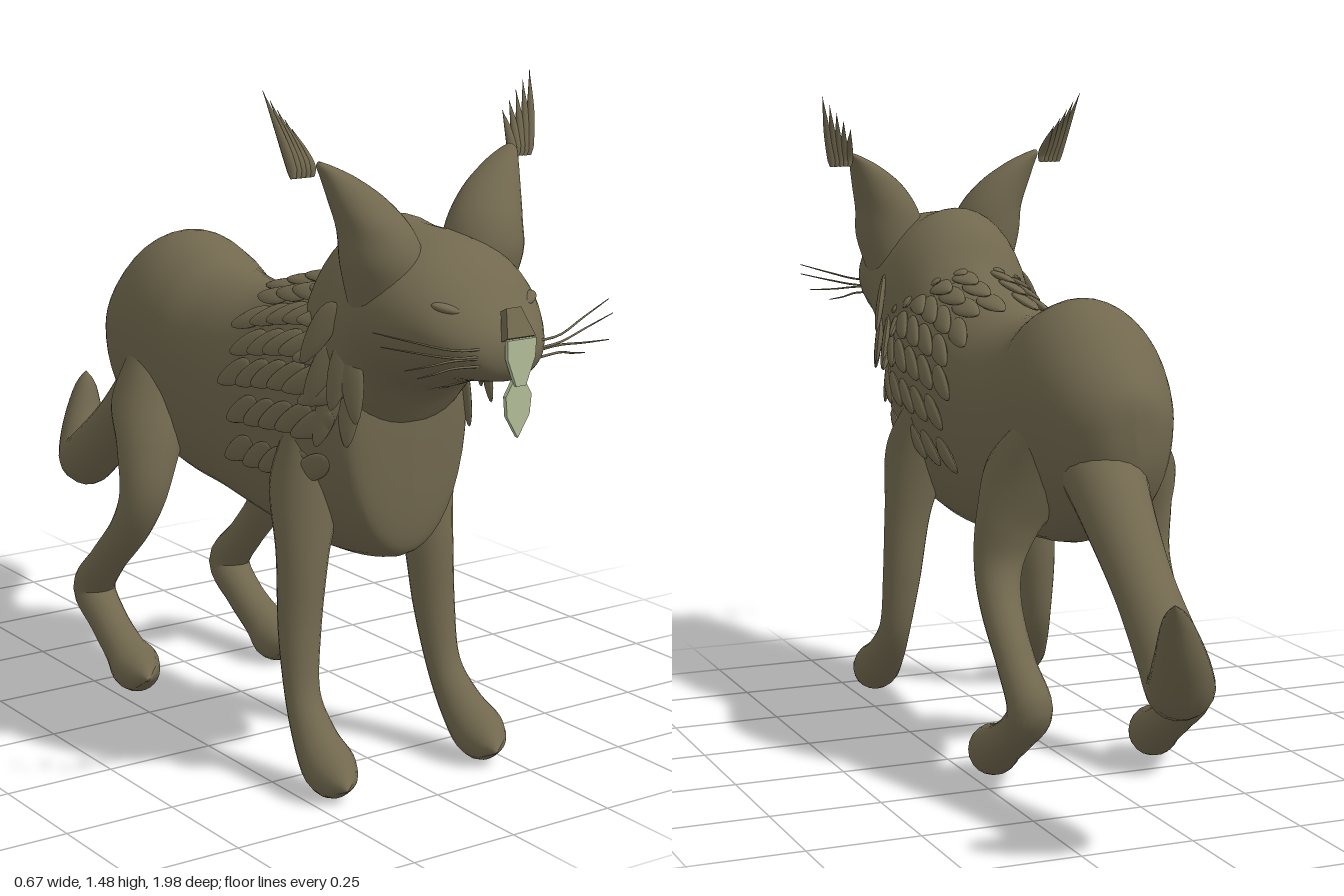
import * as THREE from 'three';

const fur = new THREE.MeshStandardMaterial({ color: 0x71684e });
fur.name = 'olive fur';
const pale = new THREE.MeshStandardMaterial({ color: 0xb3be98 });
pale.name = 'pale green';

// Smooth interpolation of section rows [axis, bottom, top, halfWidth, centreX]
function sectionAt(rows, t) {
  const f = t * (rows.length - 1), i = Math.min(Math.floor(f), rows.length - 2), u = f - i;
  const row = k => rows[Math.max(0, Math.min(rows.length - 1, k))];
  return row(i).map((b, c) => {
    const a = row(i - 1)[c], d = row(i + 1)[c], e = row(i + 2)[c];
    return b + 0.5 * u * (d - a + u * (2 * a - 5 * b + 4 * d - e + u * (3 * (b - d) + e - a)));
  });
}

function surfacePoint(rows, t, a, wide) {
  const [z, bottom, top, rx, x = 0] = sectionAt(rows, t);
  const yc = bottom + (top - bottom) * wide, s = Math.sin(a);
  const y = yc + s * (s > 0 ? top - yc : yc - bottom);
  return new THREE.Vector3(x + Math.max(rx, 0.001) * Math.cos(a), y, z);
}

// Closed loft of oval rings along z
function loft(rows, wide, steps = 60, sides = 40) {
  const pos = [], idx = [];
  for (let i = 0; i <= steps; i++) {
    for (let j = 0; j < sides; j++) {
      pos.push(...surfacePoint(rows, i / steps, j / sides * Math.PI * 2, wide).toArray());
      if (i === steps) continue;
      const a = i * sides + j, b = i * sides + (j + 1) % sides;
      idx.push(a, b, a + sides, b, b + sides, a + sides);
    }
  }
  for (let j = 1; j < sides - 1; j++) {
    const e = steps * sides;
    idx.push(0, j + 1, j, e, e + j, e + j + 1);
  }
  const g = new THREE.BufferGeometry();
  g.setAttribute('position', new THREE.Float32BufferAttribute(pos, 3));
  g.setIndex(idx);
  g.computeVertexNormals();
  return g;
}

// Tube of changing radius through points [x, y, z, radius]
function limb(points, steps = 48, sides = 20) {
  const curve = new THREE.CatmullRomCurve3(points.map(p => new THREE.Vector3(p[0], p[1], p[2])), false, 'catmullrom');
  const radii = new THREE.CatmullRomCurve3(points.map(p => new THREE.Vector3(p[3], 0, 0)), false, 'catmullrom');
  const g = new THREE.TubeGeometry(curve, steps, 1, sides);
  const p = g.attributes.position, v = new THREE.Vector3();
  for (let i = 0; i < p.count; i++) {
    const u = Math.floor(i / (sides + 1)) / steps;
    const c = curve.getPointAt(u), r = Math.max(0.0005, radii.getPoint(curve.getUtoTmapping(u)).x);
    v.fromBufferAttribute(p, i).sub(c).multiplyScalar(r).add(c);
    p.setXYZ(i, v.x, v.y, v.z);
  }
  return g;
}

const bodyRows = [
  [-0.47, 0.79, 0.86, 0.005], [-0.455, 0.71, 0.91, 0.07], [-0.4, 0.62, 0.97, 0.12], [-0.3, 0.575, 1.05, 0.155],
  [-0.2, 0.54, 1.08, 0.17], [-0.1, 0.52, 1.06, 0.165], [0, 0.51, 1.02, 0.155], [0.15, 0.49, 1.01, 0.16],
  [0.3, 0.475, 1.05, 0.175], [0.42, 0.475, 1.08, 0.185], [0.53, 0.485, 1.09, 0.185], [0.61, 0.505, 1.03, 0.165],
  [0.64, 0.54, 0.93, 0.12], [0.65, 0.66, 0.8, 0.005]];
const headRows = [
  [0.36, 0.92, 1.05, 0.03], [0.42, 0.82, 1.1, 0.12], [0.48, 0.76, 1.18, 0.155], [0.56, 0.74, 1.225, 0.175],
  [0.63, 0.78, 1.215, 0.185], [0.7, 0.87, 1.21, 0.19], [0.78, 0.905, 1.195, 0.18], [0.85, 0.93, 1.155, 0.155],
  [0.91, 0.94, 1.1, 0.12], [0.955, 0.95, 1.06, 0.08], [0.975, 0.97, 1.03, 0.035], [0.98, 0.99, 1.01, 0.001]];
const earRows = s => [
  [1.05, -0.76, -0.62, 0.07, s * 0.11], [1.15, -0.785, -0.615, 0.085, s * 0.125], [1.22, -0.77, -0.615, 0.077, s * 0.138],
  [1.28, -0.73, -0.62, 0.062, s * 0.168], [1.325, -0.695, -0.625, 0.038, s * 0.203],
  [1.35, -0.67, -0.63, 0.017, s * 0.23], [1.36, -0.65, -0.64, 0.002, s * 0.24]];

// Thin plate from a front outline
function plate(outline, z, depth) {
  const g = new THREE.ExtrudeGeometry(new THREE.Shape(outline.map(p => new THREE.Vector2(...p))), { depth, bevelEnabled: false });
  return g.translate(0, 0, z);
}

export function createModel() {
  const model = new THREE.Group();
  const add = (name, geometry, material = fur, parent = model) => {
    const m = new THREE.Mesh(geometry, material);
    m.name = name;
    parent.add(m);
    return m;
  };
  add('body', loft(bodyRows, 0.6));
  add('headAndNeck', loft(headRows, 0.5));
  add('tail', limb([[0.02, 0.75, -0.32, 0.1], [0.045, 0.665, -0.46, 0.08], [0.06, 0.535, -0.63, 0.066], [0.07, 0.42, -0.78, 0.07],
    [0.09, 0.38, -0.87, 0.07], [0.12, 0.45, -0.93, 0.055], [0.15, 0.54, -0.97, 0.028], [0.16, 0.575, -0.985, 0]]));

  // Overlapping leaf-shaped mane tufts: pointed ellipsoid, long axis y
  const leaf = new THREE.SphereGeometry(1, 14, 10);
  const lp = leaf.attributes.position;
  for (let i = 0; i < lp.count; i++) {
    const k = 1 - 0.3 * lp.getY(i);
    lp.setX(i, lp.getX(i) * k);
  }
  leaf.computeVertexNormals();
  const mane = new THREE.Group();
  mane.name = 'mane';
  model.add(mane);
  const addLeaf = (centre, normal, along, length, width) => {
    const m = add('maneTuft', leaf, fur, mane);
    const y = along.clone().addScaledVector(normal, -along.dot(normal)).normalize().addScaledVector(normal, 0.12).normalize();
    const x = new THREE.Vector3().crossVectors(y, normal).normalize();
    m.quaternion.setFromRotationMatrix(new THREE.Matrix4().makeBasis(x, y, new THREE.Vector3().crossVectors(x, y)));
    m.position.copy(centre).addScaledVector(normal, 0.006);
    m.scale.set(width, length, 0.009);
  };

  for (const s of [1, -1]) {
    const side = s > 0 ? 'left' : 'right';
    add(side + 'FrontLeg', limb([[s * 0.13, 0.8, 0.44, 0.03], [s * 0.145, 0.66, 0.465, 0.075], [s * 0.165, 0.5, 0.485, 0.056],
      [s * 0.178, 0.34, 0.495, 0.046], [s * 0.187, 0.21, 0.52, 0.038], [s * 0.193, 0.13, 0.575, 0.047],
      [s * 0.197, 0.083, 0.635, 0.057], [s * 0.197, 0.06, 0.68, 0.04], [s * 0.197, 0.05, 0.7, 0]]));
    add(side + 'HindLeg', limb([[s * 0.09, 0.84, -0.23, 0.04], [s * 0.125, 0.7, -0.18, 0.095], [s * 0.16, 0.59, -0.145, 0.073],
      [s * 0.18, 0.49, -0.137, 0.055], [s * 0.19, 0.4, -0.18, 0.046], [s * 0.195, 0.3, -0.275, 0.043],
      [s * 0.192, 0.215, -0.345, 0.05], [s * 0.192, 0.15, -0.28, 0.045], [s * 0.195, 0.1, -0.2, 0.048],
      [s * 0.197, 0.073, -0.145, 0.058], [s * 0.197, 0.06, -0.1, 0.035], [s * 0.197, 0.055, -0.09, 0]], 64));
    add(side + 'Ear', loft(earRows(s), 0.5, 30, 28).rotateX(-Math.PI / 2));

    // Ear tuft strands
    for (let k = 0; k < 5; k++) {
      const x = 0.252 + k * 0.011, tx = 0.265 + k * 0.0175, ty = 1.42 + k * 0.02;
      add(side + 'EarTuft', limb([[s * x, 1.33, 0.635, 0.006], [s * (x + 0.002), 1.35, 0.633, 0.011],
        [s * (x + tx) / 2, (1.34 + ty) / 2, 0.615, 0.008], [s * tx, ty, 0.585, 0]], 12, 8));
    }
    // Whiskers
    for (const [x, y, z, y0] of [[0.295, 1.07, 0.9, 1.02], [0.29, 1.045, 0.92, 1.005], [0.255, 1.0, 0.95, 1.0], [0.21, 0.975, 0.93, 0.985]]) {
      add(side + 'Whisker', limb([[s * 0.05, y0, 0.955, 0.003], [s * 0.13, y0 + 0.003, 0.945, 0.0025],
        [s * (x + 0.13) / 2, (y + y0) / 2, (z + 0.94) / 2, 0.002], [s * x, y, z, 0.001]], 12, 6));
    }
    // Closed eyelid
    const lid = add(side + 'Eyelid', new THREE.SphereGeometry(1, 16, 10));
    lid.scale.set(0.032, 0.01, 0.018);
    lid.position.set(s * 0.1, 1.09, 0.878);
    lid.rotation.set(0, s * 0.6, s * 0.25);

    // Mane rows across shoulder and back
    for (let r = 0; r < 7; r++) {
      for (let c = 0; c < 6; c++) {
        const t = 0.58 + c * 0.046 + (r % 2) * 0.02, a = -0.42 + r * 0.29;
        if (t > 0.79 + r * 0.012 || (r === 6 && c > 3)) continue;
        const p = surfacePoint(bodyRows, t, a, 0.6);
        const dz = surfacePoint(bodyRows, t + 0.005, a, 0.6).sub(p);
        const da = surfacePoint(bodyRows, t, a + 0.02, 0.6).sub(p);
        const n = da.cross(dz).normalize();
        p.x *= s;
        n.x *= s;
        addLeaf(p, n, new THREE.Vector3(0, r > 4 ? -0.1 : -0.5, -1), 0.066, 0.026);
      }
    }
    // Ruff behind the cheeks
    for (const [x, y, z, tilt] of [[0.17, 0.83, 0.58, 0.3], [0.145, 0.84, 0.625, 0], [0.18, 0.91, 0.57, 0.5],
      [0.175, 0.92, 0.63, 0.2], [0.19, 1.0, 0.58, 0.6], [0.165, 0.9, 0.665, -0.2]]) {
      addLeaf(new THREE.Vector3(s * x, y, z), new THREE.Vector3(s * 0.93, 0, 0.37), new THREE.Vector3(0, -1, -tilt), 0.075, 0.027);
    }
  }

  // Nose bridge and the two pale pointed plates
  const nose = add('nose', plate([[-0.035, -0.03], [0.035, -0.03], [0.018, 0.03], [-0.018, 0.03]], 0, 0.02));
  nose.position.set(0, 1.06, 0.955);
  nose.rotation.x = -0.45;
  add('upperBeak', plate([[-0.036, 1.038], [-0.034, 1.0], [-0.012, 0.945], [0.012, 0.945], [0.034, 1.0], [0.036, 1.038]], 0.979, 0.009), pale);
  add('lowerBeak', plate([[-0.014, 0.955], [-0.032, 0.925], [-0.028, 0.885], [0, 0.84], [0.028, 0.885], [0.032, 0.925], [0.014, 0.955]], 0.973, 0.009), pale);
  return model;
}
